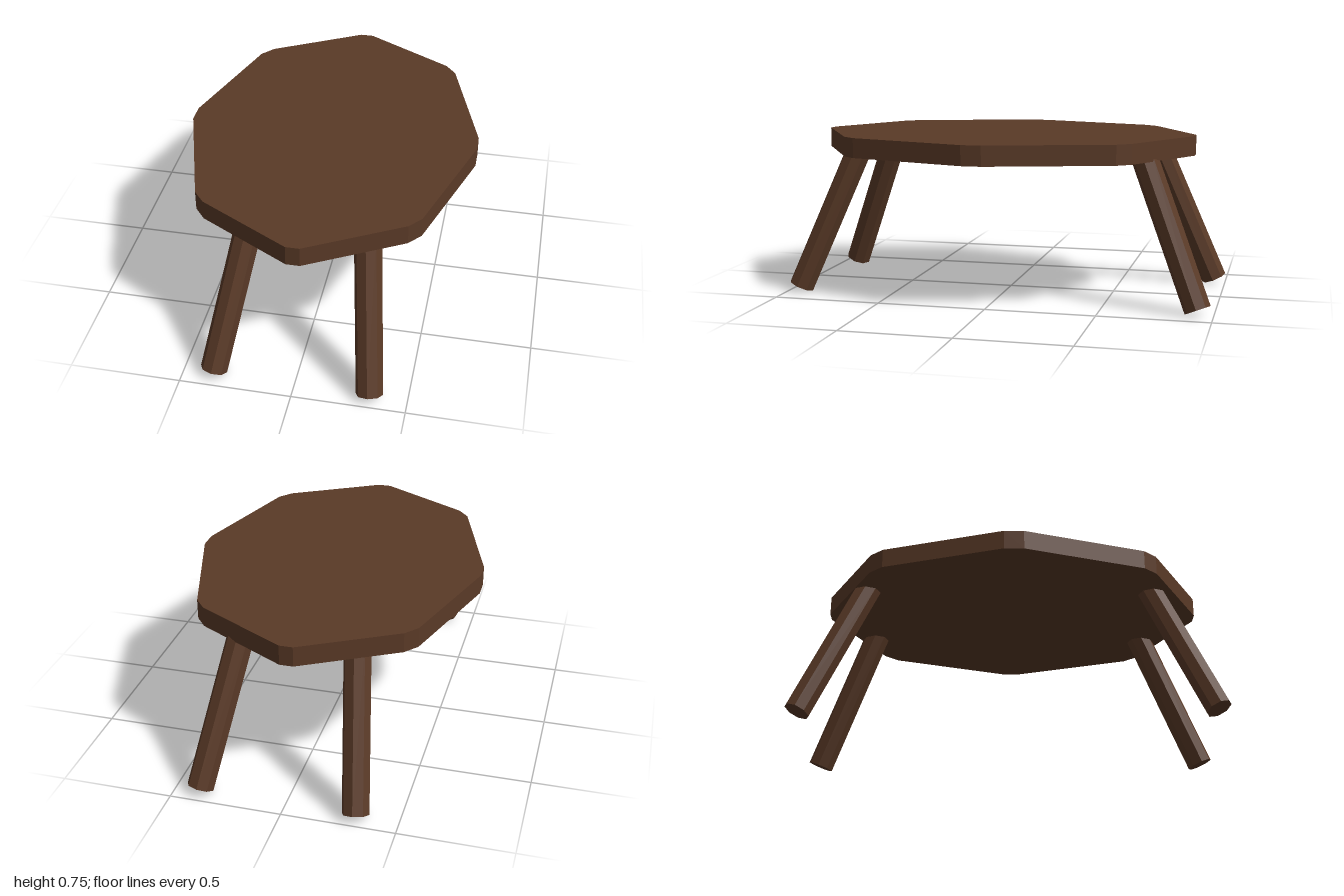
import * as THREE from 'three';

const wood = new THREE.MeshStandardMaterial({ color: 0x5a3a27 });
wood.name = 'dark wood';

const TOP_Y = 0.75, THICKNESS = 0.09, LEG_RADIUS = 0.06;

// Faceted oval slab with clipped corners
function makeSeat() {
  const half = [[0.03, -0.885], [0.44, -0.655], [0.49, -0.595], [0.66, -0.045],
    [0.66, 0.045], [0.49, 0.595], [0.44, 0.655], [0.03, 0.885]];
  const outline = [...half, ...half.map(([x, z]) => [-x, z]).reverse()];
  const shape = new THREE.Shape(outline.map(([x, z]) => new THREE.Vector2(x, z + 0.015)));
  const geometry = new THREE.ExtrudeGeometry(shape, { depth: THICKNESS, bevelEnabled: false });
  geometry.rotateX(Math.PI / 2).translate(0, TOP_Y, 0);
  const seat = new THREE.Mesh(geometry, wood);
  seat.name = 'seat';
  return seat;
}

// Eight-sided peg from its foot to a point just inside the seat
function makeLeg(name, foot, socket) {
  const a = new THREE.Vector3(...foot), b = new THREE.Vector3(...socket);
  const axis = b.clone().sub(a).normalize();
  b.addScaledVector(axis, 0.04);
  const geometry = new THREE.CylinderGeometry(LEG_RADIUS, LEG_RADIUS, a.distanceTo(b), 8).toNonIndexed();
  geometry.computeVertexNormals();
  const leg = new THREE.Mesh(geometry, wood);
  leg.name = name;
  leg.position.copy(a).lerp(b, 0.5);
  leg.quaternion.setFromUnitVectors(new THREE.Vector3(0, 1, 0), axis);
  return leg;
}

export function createModel() {
  const stool = new THREE.Group();
  stool.name = 'stool';
  stool.add(makeSeat());

  // Legs splay unevenly; diagonal pairs match
  stool.add(
    makeLeg('frontLeftLeg', [0.335, 0.025, 0.942], [0.272, 0.66, 0.67]),
    makeLeg('frontRightLeg', [-0.363, 0.025, 0.922], [-0.24, 0.66, 0.67]),
    makeLeg('backLeftLeg', [0.385, 0.025, -0.93], [0.26, 0.66, -0.675]),
    makeLeg('backRightLeg', [-0.315, 0.025, -0.945], [-0.25, 0.66, -0.672]),
  );
  return stool;
}
